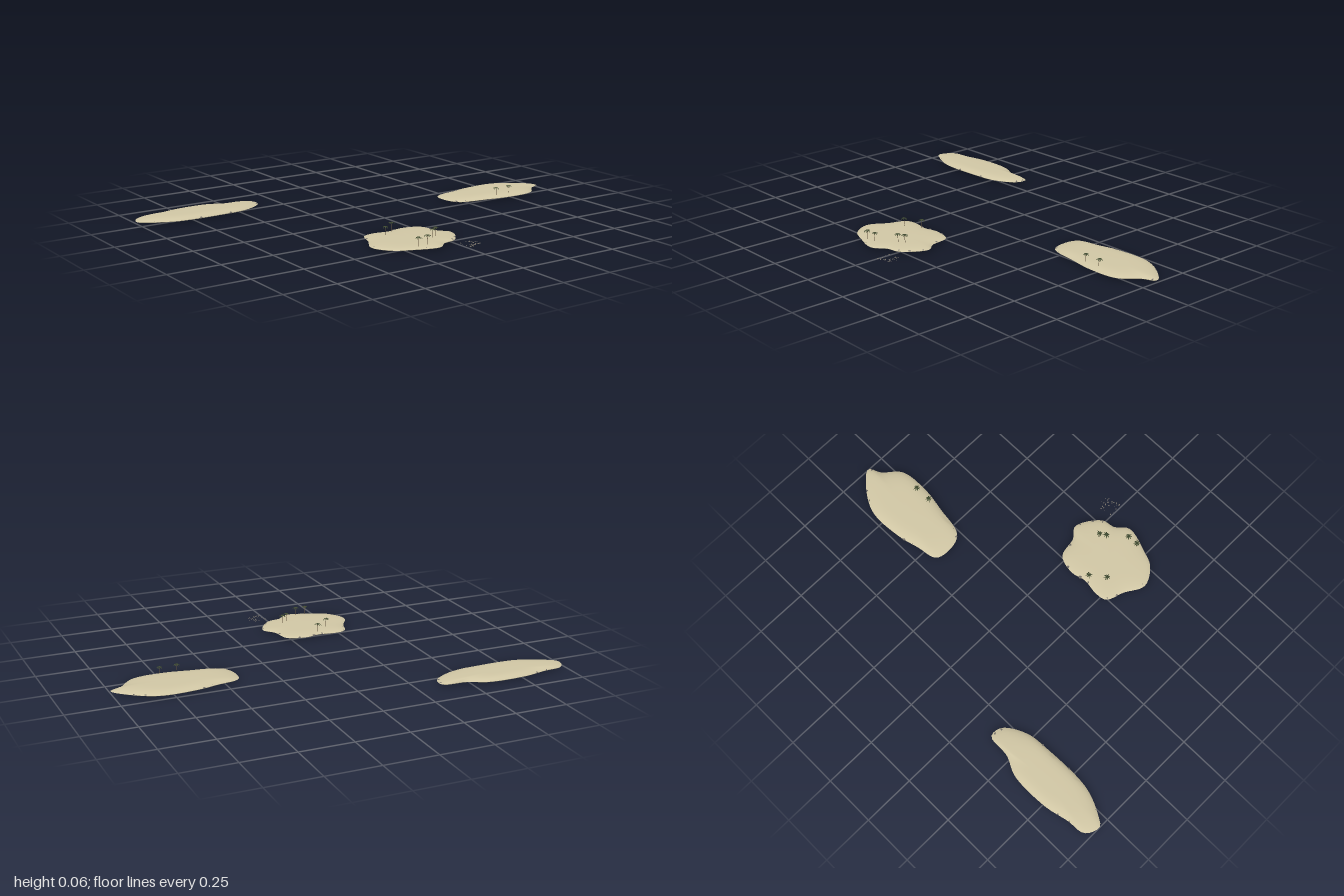
import * as THREE from 'three';
import { toCreasedNormals } from 'three/addons/utils/BufferGeometryUtils.js';

const material = (color, extra = {}) => new THREE.MeshStandardMaterial({ color, ...extra });
const sand = material(0xd0c6a4);
const bark = material(0x6b5a45);
const leaf = material(0x3f4a30, { side: THREE.DoubleSide });
const stone = material(0x77726a, { flatShading: true });

// Small seeded generator for scatter and variation
let seed = 7;
const rand = (a, b) => {
  seed = (seed * 16807) % 2147483647;
  return a + (b - a) * (seed / 2147483647);
};

function add(parent, name, geometry, mat) {
  const mesh = new THREE.Mesh(geometry, mat);
  mesh.name = name;
  parent.add(mesh);
  return mesh;
}

// Smooth closed shoreline through a few [x, z] points
function shoreline(points, count) {
  const curve = new THREE.CatmullRomCurve3(points.map(([x, z]) => new THREE.Vector3(x, 0, z)), true);
  return curve.getSpacedPoints(count).slice(0, count);
}

// Closed low mound: rings run from the underside centre, round the rim, to the crest
function moundGeometry(rim, [cx, cz], crest) {
  const n = rim.length;
  const rise = (t) => 0.012 + (crest - 0.012) * t;
  const rings = [[0, 0.007], [0.98, 0.007], [1, 0.0095], [0.98, rise(0)], [0.9, rise(0.42)], [0.78, rise(0.75)],
    [0.62, rise(0.93)], [0.4, rise(0.97)], [0.2, rise(0.96)], [0, rise(1)]];
  const position = [], index = [];
  rings.forEach(([s, y], r) => {
    for (let i = 0; i < n; i++) {
      position.push(cx + (rim[i].x - cx) * s, y, cz + (rim[i].z - cz) * s);
      if (r === 0) continue;
      const j = (i + 1) % n, p = (r - 1) * n, q = r * n;
      if (r > 1) index.push(p + j, p + i, q + i);
      if (r < rings.length - 1) index.push(p + j, q + i, q + j);
      else continue;
    }
  });
  const geometry = new THREE.BufferGeometry();
  geometry.setAttribute('position', new THREE.Float32BufferAttribute(position, 3));
  geometry.setIndex(index);
  return toCreasedNormals(geometry, 0.7);
}

// Drooping leaf blade, wide in the middle and pointed at the tip
function frondGeometry(length) {
  const geometry = new THREE.PlaneGeometry(length, 0.005, 4, 2).rotateX(-Math.PI / 2).translate(length / 2, 0, 0);
  const p = geometry.attributes.position;
  for (let i = 0; i < p.count; i++) {
    const t = p.getX(i) / length, z = p.getZ(i);
    p.setZ(i, z * (0.15 + 0.85 * Math.sin(Math.PI * t)));
    p.setY(i, 0.003 * Math.sin(Math.PI * t) - 0.005 * t * t - Math.abs(z) * 0.3);
  }
  geometry.computeVertexNormals();
  return geometry;
}

function makePalm(x, z, ground) {
  const palm = new THREE.Group();
  palm.name = 'palm';
  palm.position.set(x, ground, z);
  const height = rand(0.038, 0.043);
  const top = new THREE.Vector3(rand(-0.003, 0.003), height, rand(-0.003, 0.003));
  const path = new THREE.QuadraticBezierCurve3(new THREE.Vector3(0, -0.004, 0), new THREE.Vector3(0, height / 2, 0), top);
  add(palm, 'trunk', new THREE.TubeGeometry(path, 6, 0.0011, 6), bark);
  const turn = rand(0, 1);
  for (let i = 0; i < 8; i++) {
    const frond = add(palm, 'frond', frondGeometry(rand(0.014, 0.018)), leaf);
    frond.position.copy(top);
    frond.rotation.y = turn + (i * Math.PI) / 4;
  }
  return palm;
}

function addStone(parent, name, x, y, z, r) {
  const mesh = add(parent, name, new THREE.DodecahedronGeometry(r), stone);
  mesh.position.set(x, y, z);
  mesh.scale.set(rand(0.9, 1.3), 0.6, rand(0.7, 1.1));
  mesh.rotation.y = rand(0, 6);
}

// Rocks are given as fractions of the way round the shoreline
function makeIsland(name, { centre, crest, shore, rocks, palms }) {
  const island = new THREE.Group();
  island.name = name;
  const rim = shoreline(shore, 80);
  add(island, 'sandMound', moundGeometry(rim, centre, crest), sand);
  for (const [x, z] of palms) island.add(makePalm(x, z, 0.016));
  for (const t of rocks) {
    const at = rim[Math.floor(t * rim.length)], s = rand(0.92, 0.99);
    const x = centre[0] + (at.x - centre[0]) * s, z = centre[1] + (at.z - centre[1]) * s;
    addStone(island, 'shoreRock', x, 0.0105, z, rand(0.005, 0.008));
  }
  return island;
}

export function createModel() {
  const model = new THREE.Group();
  model.name = 'islands';

  model.add(makeIsland('longIsland', {
    centre: [-0.68, -0.56], crest: 0.025,
    shore: [[-1, -0.55], [-0.97, -0.617], [-0.88, -0.63], [-0.76, -0.655], [-0.57, -0.652], [-0.48, -0.612],
      [-0.366, -0.598], [-0.37, -0.54], [-0.468, -0.476], [-0.6, -0.46], [-0.836, -0.465], [-0.96, -0.517]],
    rocks: [0.11, 0.15, 0.51, 0.53, 0.68, 0.79, 0.96],
    palms: [],
  }));
  model.add(makeIsland('eastIsland', {
    centre: [0.71, -0.1], crest: 0.025,
    shore: [[0.42, -0.096], [0.436, -0.173], [0.537, -0.198], [0.64, -0.222], [0.815, -0.225], [0.928, -0.166],
      [1, -0.085], [0.945, -0.055], [0.869, 0.021], [0.725, 0.034], [0.6, 0.015], [0.45, -0.02]],
    rocks: [0.16, 0.19, 0.39, 0.43, 0.52, 0.59, 0.8, 0.93, 0.96, 0.99],
    palms: [[0.665, 0.003], [0.743, 0.003]],
  }));
  model.add(makeIsland('roundIsland', {
    centre: [-0.14, 0.405], crest: 0.02,
    shore: [[-0.36, 0.42], [-0.313, 0.325], [-0.28, 0.243], [-0.227, 0.23], [-0.142, 0.241], [-0.07, 0.226],
      [0.02, 0.255], [0.045, 0.353], [0.083, 0.406], [0.013, 0.519], [-0.051, 0.535], [-0.11, 0.58],
      [-0.238, 0.545], [-0.31, 0.51]],
    rocks: [0, 0.12, 0.15, 0.25, 0.29, 0.36, 0.39, 0.45, 0.56, 0.6, 0.64, 0.8, 0.83],
    palms: [[-0.147, 0.263], [-0.211, 0.311], [-0.038, 0.445], [-0.067, 0.462], [-0.195, 0.535], [-0.147, 0.535]],
  }));

  // Loose reef fragments off the round island
  const reef = new THREE.Group();
  reef.name = 'reef';
  for (let i = 0; i < 30; i++) {
    addStone(reef, 'reefFragment', rand(0.005, 0.083), rand(0.005, 0.008), rand(0.55, 0.645), rand(0.0015, 0.0035));
  }
  // Deepest fragment touches the sea bed
  addStone(reef, 'reefFragment', 0.045, 0.0018, 0.6, 0.003);
  model.add(reef);
  return model;
}
